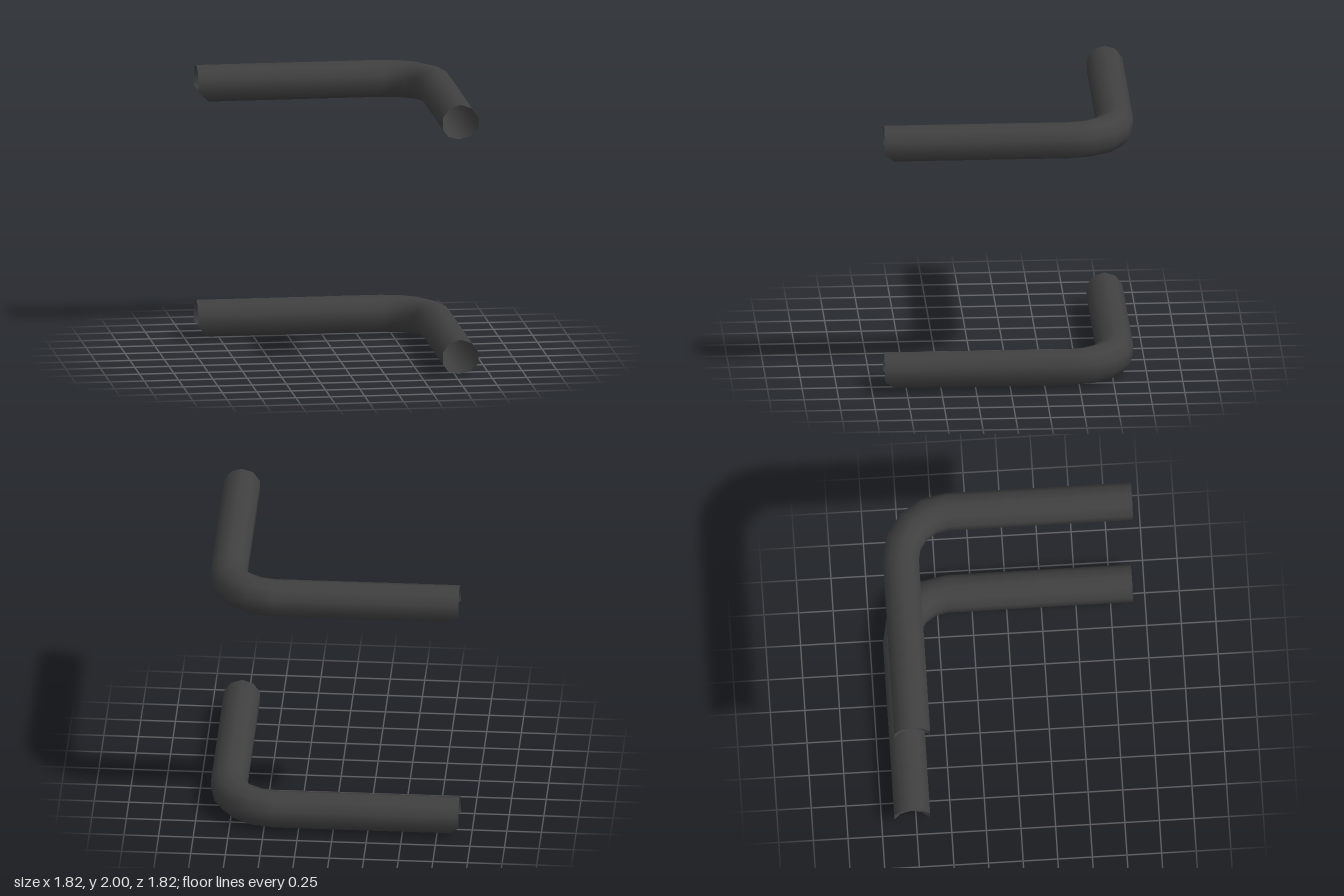
import * as THREE from 'three';

const R = 0.136;      // tube radius
const SIDES = 10;
const BEND = 0.355;   // centreline radius of the corner
const C = 0.425;      // bend centre at (C, -C)
const END = 0.91;     // where both arms stop

// Centreline stations: point (x, z), outward direction (ox, oz)
function stations() {
  const list = [{ x: -END, z: -C - BEND, ox: 0, oz: -1 }];
  for (let i = 0; i <= 4; i++) {
    const a = (i / 4) * Math.PI / 2;
    const ox = Math.sin(a), oz = -Math.cos(a);
    list.push({ x: C + BEND * ox, z: -C + BEND * oz, ox, oz });
  }
  list.push({ x: C + BEND, z: END, ox: 1, oz: 0 });
  return list;
}

// Open bent tube whose two mouths are cut back along the underside
function bentTube() {
  const path = stations(), pos = [], nor = [], idx = [];
  path.forEach((s, i) => {
    for (let j = 0; j < SIDES; j++) {
      const a = Math.PI / 2 + (j / SIDES) * Math.PI * 2;
      const c = Math.cos(a), h = Math.sin(a);
      let x = s.x + s.ox * c * R, z = s.z + s.oz * c * R;
      const cut = Math.max(0, -0.042 - h * R);
      if (i === 0) x += cut;
      if (i === path.length - 1) z -= cut;
      pos.push(x, h * R, z);
      nor.push(s.ox * c, h, s.oz * c);
      if (i < path.length - 1) {
        const k = (j + 1) % SIDES, p = i * SIDES, q = p + SIDES;
        idx.push(p + j, p + k, q + j, p + k, q + k, q + j);
      }
    }
  });
  const g = new THREE.BufferGeometry();
  g.setAttribute('position', new THREE.Float32BufferAttribute(pos, 3));
  g.setAttribute('normal', new THREE.Float32BufferAttribute(nor, 3));
  g.setIndex(idx);
  return g;
}

export function createModel() {
  const group = new THREE.Group();
  group.name = 'cornerRails';
  const material = new THREE.MeshStandardMaterial({ color: 0x404040, side: THREE.DoubleSide });
  const geometry = bentTube();

  // Identical lower and upper rails
  for (const [name, y] of [['lowerRail', R], ['upperRail', 2 - R]]) {
    const rail = new THREE.Mesh(geometry, material);
    rail.name = name;
    rail.position.y = y;
    group.add(rail);
  }
  return group;
}
